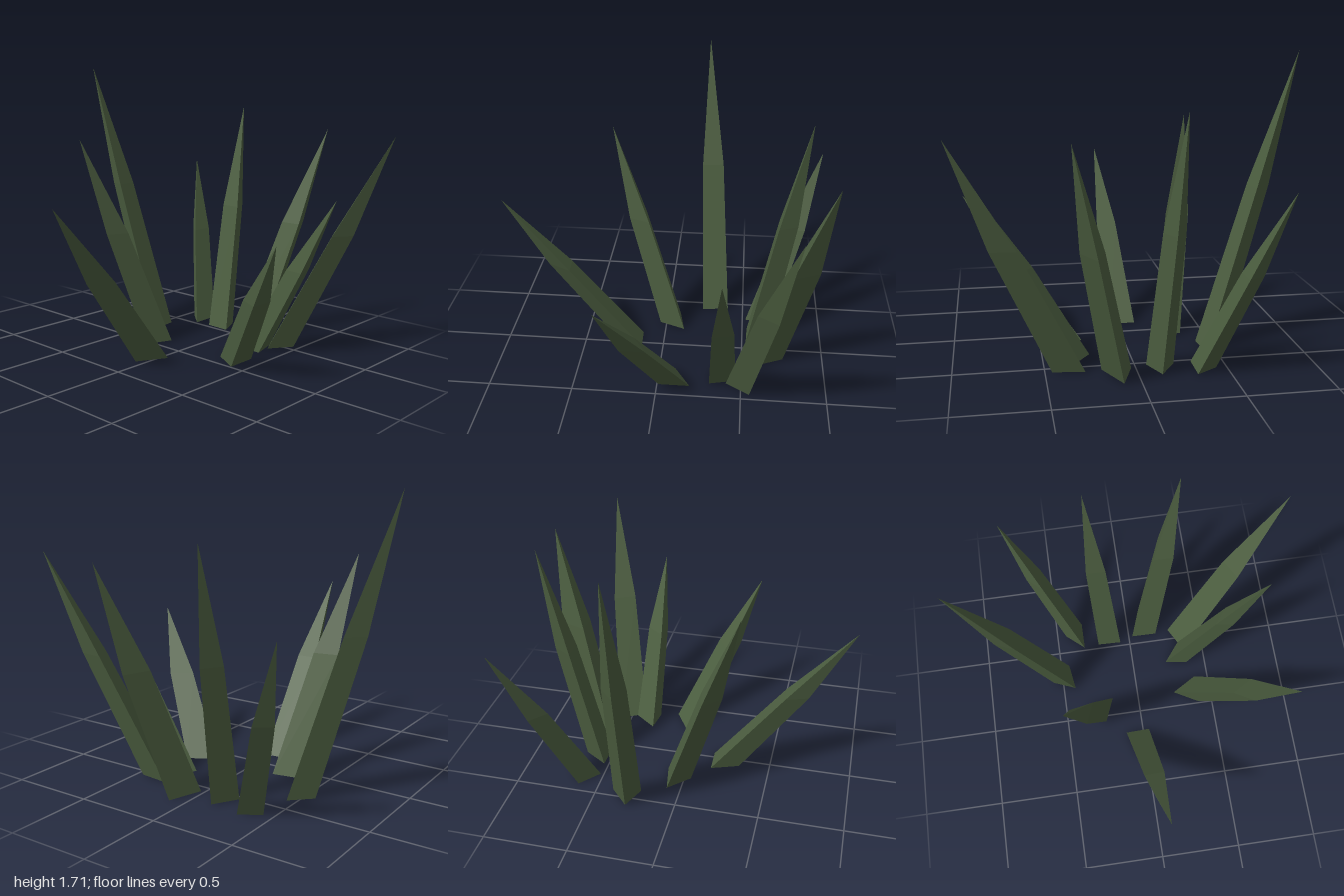
import * as THREE from 'three';

// Each blade: three ground corners (x, z), then the tip (x, y, z)
const BLADES = [
  { base: [[-0.32, -0.52], [-0.32, -0.70], [-0.44, -0.625]], tip: [-0.74, 1.05, -0.975] },
  { base: [[-0.22, -0.53], [-0.065, -0.525], [-0.13, -0.67]], tip: [-0.21, 1.45, -0.86] },
  { base: [[0.025, -0.557], [0.19, -0.555], [0.095, -0.755]], tip: [0.385, 1.32, -0.975] },
  { base: [[0.28, -0.57], [0.365, -0.41], [0.46, -0.55]], tip: [0.99, 1.32, -0.755] },
  { base: [[0.23, -0.33], [0.335, -0.465], [0.375, -0.31]], tip: [0.855, 0.98, -0.375] },
  { base: [[0.25, -0.10], [0.41, -0.195], [0.41, -0.01]], tip: [0.93, 0.83, 0.275] },
  { base: [[-0.115, 0.14], [0.04, 0.135], [-0.055, 0.31]], tip: [0.03, 1.0, 0.965] },
  { base: [[-0.36, -0.085], [-0.175, -0.12], [-0.24, 0.04]], tip: [-0.47, 1.29, 0.36] },
  { base: [[-0.445, -0.40], [-0.42, -0.23], [-0.565, -0.29]], tip: [-1.0, 1.71, -0.215] },
];
const BEND = 0.55; // height of the middle ring along the blade
const TAPER = 0.8; // size of the middle ring against the base

// Three-sided blade: base ring, slightly smaller middle ring, pointed tip
function bladeGeometry({ base, tip }) {
  const low = base.map(([x, z]) => new THREE.Vector3(x, 0, z));
  const facing = low[1].clone().sub(low[0]).cross(low[2].clone().sub(low[0]));
  if (facing.y < 0) low.reverse();
  const top = new THREE.Vector3(...tip);
  const centre = low[0].clone().add(low[1]).add(low[2]).divideScalar(3);
  const middle = centre.clone().lerp(top, BEND);
  const mid = low.map((p) => p.clone().sub(centre).multiplyScalar(TAPER).add(middle));

  const points = [low[0], low[2], low[1]]; // underside
  for (let i = 0; i < 3; i++) {
    const j = (i + 1) % 3;
    points.push(low[i], low[j], mid[j], low[i], mid[j], mid[i]); // lower side
    points.push(mid[i], mid[j], top); // pointed end
  }
  const geometry = new THREE.BufferGeometry().setFromPoints(points);
  geometry.computeVertexNormals();
  return geometry;
}

export function createModel() {
  const group = new THREE.Group();
  group.name = 'grassTuft';
  const green = new THREE.MeshStandardMaterial({ color: 0x4b5d3f });
  green.name = 'darkGreen';
  BLADES.forEach((blade, i) => {
    const mesh = new THREE.Mesh(bladeGeometry(blade), green);
    mesh.name = `blade${i + 1}`;
    group.add(mesh);
  });
  return group;
}
